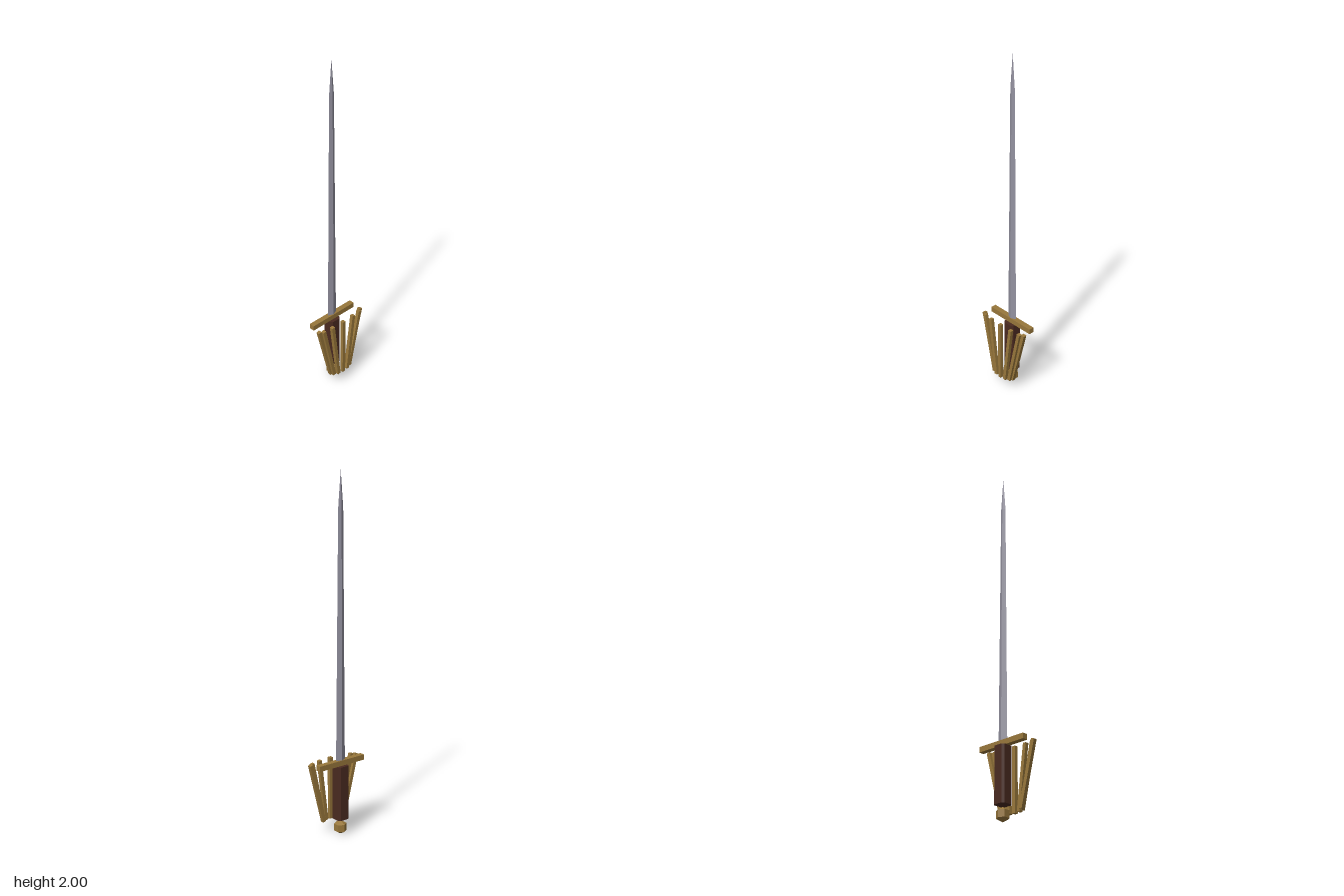
import * as THREE from 'three';

const AXIS_Z = -0.032; // blade and grip axis

function makeMaterial(name, color) {
  const m = new THREE.MeshStandardMaterial({ color, flatShading: true });
  m.name = name;
  return m;
}

export function createModel() {
  const steel = makeMaterial('steel', 0x9492a0);
  const brass = makeMaterial('brass', 0x98773b);
  const leather = makeMaterial('leather', 0x4a2a20);
  const model = new THREE.Group();
  model.name = 'sword';

  const add = (name, geometry, material, x, y, z) => {
    const mesh = new THREE.Mesh(geometry, material);
    mesh.name = name;
    mesh.position.set(x, y, z);
    model.add(mesh);
    return mesh;
  };

  // Blade: diamond section, slight taper, then a sharp point
  const profile = [[0, 0.41], [0.031, 0.41], [0.017, 1.8], [0, 2]];
  const blade = new THREE.LatheGeometry(profile.map(([r, y]) => new THREE.Vector2(r, y)), 4);
  blade.scale(1, 1, 0.46);
  add('blade', blade, steel, 0, 0, AXIS_Z);

  // Crossguard
  add('crossguard', new THREE.BoxGeometry(0.31, 0.03, 0.031), brass, 0, 0.415, AXIS_Z);

  // Grip: upright bar with cut corners
  const a = 0.036, c = 0.025;
  const section = new THREE.Shape([
    [c, -a], [a, -c], [a, c], [c, a], [-c, a], [-a, c], [-a, -c], [-c, -a],
  ].map(([x, y]) => new THREE.Vector2(x, y)));
  const grip = new THREE.ExtrudeGeometry(section, { depth: 0.31, bevelEnabled: false });
  grip.rotateX(-Math.PI / 2);
  add('grip', grip, leather, 0, 0.09, AXIS_Z);

  // Pommel: six-sided knob
  const pommel = new THREE.SphereGeometry(0.04, 6, 3);
  pommel.rotateY(Math.PI / 2);
  add('pommel', pommel, brass, 0, 0.04, AXIS_Z);

  // Hand guard: bars fanned out in front of the grip, [x, z, tilt]
  const bar = new THREE.BoxGeometry(0.02, 0.358, 0.02);
  const bars = [[0.114, 0.0295, 0.25], [0.0985, 0.044, 0.218], [0.0565, 0.053, 0.127]];
  add('guardBarCentre', bar, brass, 0, 0.243, 0.056);
  bars.forEach(([x, z, tilt], i) => {
    for (const side of [1, -1]) {
      const name = `guardBar${side > 0 ? 'Left' : 'Right'}${i + 1}`;
      add(name, bar, brass, side * x, 0.243, z).rotation.z = -side * tilt;
    }
  });

  return model;
}
